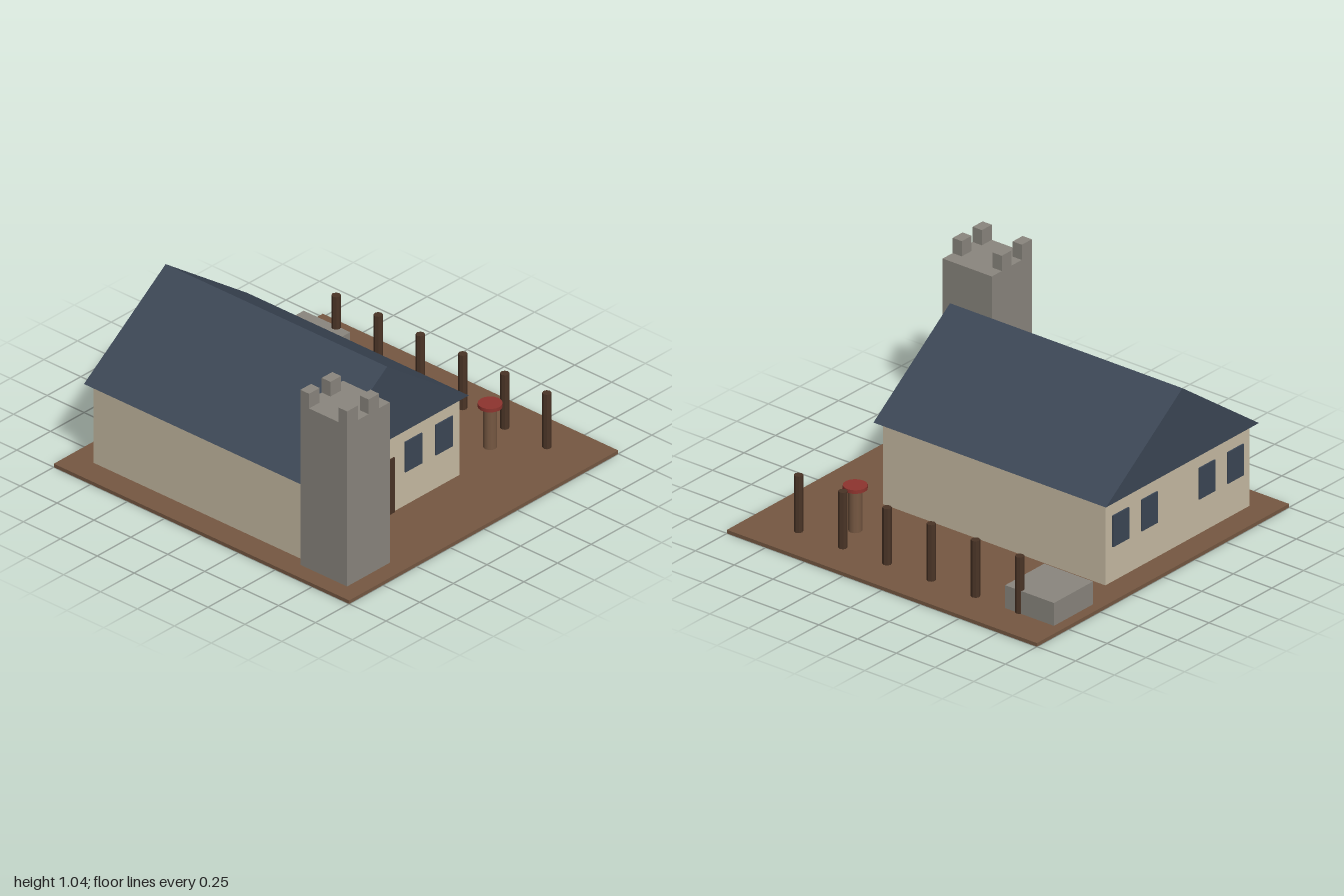
import * as THREE from 'three';

export function createModel() {
  const model = new THREE.Group();
  model.name = 'homestead';

  const material = (name, color) => {
    const m = new THREE.MeshStandardMaterial({ color });
    m.name = name;
    return m;
  };
  const earth = material('earth brown', 0x765842);
  const plaster = material('cream plaster', 0xc8bca4);
  const slate = material('slate blue', 0x3c4756);
  const stone = material('grey stone', 0x8a867e);
  const darkWood = material('dark wood', 0x4a3426);
  const red = material('dull red', 0x8e342e);

  const add = (name, geometry, mat, x = 0, y = 0, z = 0, parent = model) => {
    const mesh = new THREE.Mesh(geometry, mat);
    mesh.name = name;
    mesh.position.set(x, y, z);
    parent.add(mesh);
    return mesh;
  };
  // Box given by its extents along each axis
  const box = (name, mat, [x0, x1], [y0, y1], [z0, z1], parent) =>
    add(name, new THREE.BoxGeometry(x1 - x0, y1 - y0, z1 - z0), mat,
      (x0 + x1) / 2, (y0 + y1) / 2, (z0 + z1) / 2, parent);
  const group = (name) => {
    const g = new THREE.Group();
    g.name = name;
    model.add(g);
    return g;
  };

  const ground = 0.02;
  box('ground', earth, [-1, 1], [0, ground], [-1, 1]);

  // House walls and gabled roof
  const house = group('house');
  const cx = -0.287, front = 0.575, back = -0.86;
  box('walls', plaster, [cx - 0.572, cx + 0.572], [ground, 0.48], [back, front], house);
  const gable = new THREE.Shape([
    new THREE.Vector2(-0.607, 0.48),
    new THREE.Vector2(0.607, 0.48),
    new THREE.Vector2(0, 0.912),
  ]);
  add('roof', new THREE.ExtrudeGeometry(gable, { depth: 1.5, bevelEnabled: false }),
    slate, cx, 0, -0.892, house);

  // Front door, and four windows on each gable end
  box('door', darkWood, [-0.375, -0.202], [ground, 0.337], [front, front + 0.009], house);
  for (const dx of [-0.455, -0.228, 0.228, 0.455]) {
    const xs = [cx + dx - 0.063, cx + dx + 0.063];
    box('frontWindow', slate, xs, [0.215, 0.39], [front, front + 0.008], house);
    box('backWindow', slate, xs, [0.215, 0.39], [back - 0.008, back], house);
  }

  // Stone tower with battlements
  const tower = group('tower');
  box('towerBody', stone, [-0.905, -0.588], [ground, 0.952], [0.583, 0.9], tower);
  for (const x of [-0.905, -0.746])
    for (const z of [0.583, 0.841])
      box('merlon', stone, [x, x + 0.079], [0.952, 1.037], [z, z + 0.059], tower);

  // Low stone block in the back corner
  box('stoneBlock', stone, [0.487, 0.797], [ground, 0.148], [-0.945, -0.63]);

  // Row of fence posts
  const fence = group('fence');
  const postGeometry = new THREE.CylinderGeometry(0.024, 0.024, 0.316, 8).toNonIndexed();
  postGeometry.computeVertexNormals();
  for (let i = 0; i < 6; i++)
    add('fencePost', postGeometry, darkWood, 0.785, 0.178, 0.713 - i * 0.2855, fence);

  // Round-topped stand
  const stand = group('stand');
  add('standPost', new THREE.CylinderGeometry(0.036, 0.036, 0.235, 12), earth, 0.597, 0.1375, 0.5, stand);
  add('standTop', new THREE.CylinderGeometry(0.063, 0.063, 0.02, 16), red, 0.597, 0.264, 0.5, stand);

  return model;
}
